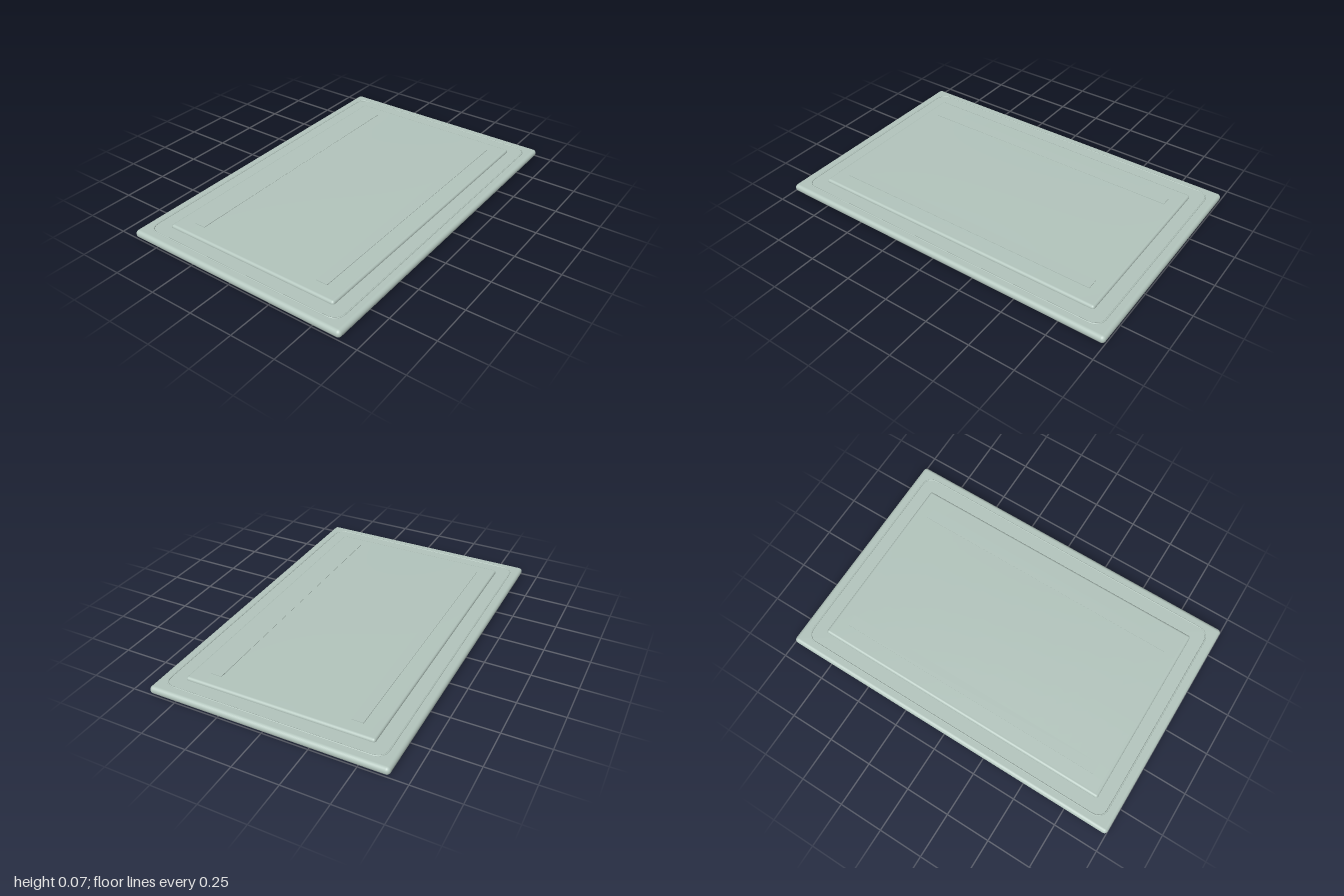
import * as THREE from 'three';
import { RoundedBoxGeometry } from 'three/addons/geometries/RoundedBoxGeometry.js';

const material = new THREE.MeshStandardMaterial({ color: 0xb4c6be });

function addPart(group, name, geometry, x = 0, y = 0, z = 0) {
  const mesh = new THREE.Mesh(geometry, material);
  mesh.name = name;
  mesh.position.set(x, y, z);
  group.add(mesh);
  return mesh;
}

// Closed path around a rounded rectangle, lying flat
function roundedLoop(halfX, halfZ, r) {
  const points = [];
  const corners = [[1, 1], [-1, 1], [-1, -1], [1, -1]];
  corners.forEach(([sx, sz], i) => {
    for (let k = 0; k <= 4; k++) {
      const a = (i + k / 4) * Math.PI / 2;
      points.push(new THREE.Vector3(
        sx * (halfX - r) + r * Math.cos(a), 0, sz * (halfZ - r) + r * Math.sin(a)));
    }
  });
  const path = new THREE.CurvePath();
  points.forEach((p, i) => path.add(new THREE.LineCurve3(p, points[(i + 1) % points.length])));
  return path;
}

// Gently domed rectangular surface, zero height at its border
function crownGeometry(width, depth, rise) {
  const g = new THREE.PlaneGeometry(width, depth, 20, 14).rotateX(-Math.PI / 2);
  const p = g.attributes.position;
  for (let i = 0; i < p.count; i++) {
    const u = 2 * p.getX(i) / width, v = 2 * p.getZ(i) / depth;
    p.setY(i, rise * (1 - u * u) * (1 - v * v));
  }
  g.computeVertexNormals();
  return g;
}

export function createModel() {
  const group = new THREE.Group();
  group.name = 'panel';

  // Base slab with softly rounded edges
  addPart(group, 'baseSlab', new RoundedBoxGeometry(2, 0.044, 1.312, 5, 0.021), 0, 0.022);

  // Fine bead running around the border
  addPart(group, 'borderBead',
    new THREE.TubeGeometry(roundedLoop(0.945, 0.604, 0.055), 320, 0.004, 8, true), 0, 0.044);

  // Raised centre panel and its slight crown
  addPart(group, 'centrePanel', new RoundedBoxGeometry(1.738, 0.04, 1.05, 4, 0.014), 0, 0.04);
  addPart(group, 'panelCrown', crownGeometry(1.7, 1.01, 0.005), 0, 0.0601);

  // Long flat strips near the front and back edges
  for (const side of [1, -1]) {
    addPart(group, side > 0 ? 'frontStrip' : 'backStrip',
      new THREE.BoxGeometry(1.575, 0.014, 0.064), 0, 0.0568, side * 0.396);
  }
  return group;
}
